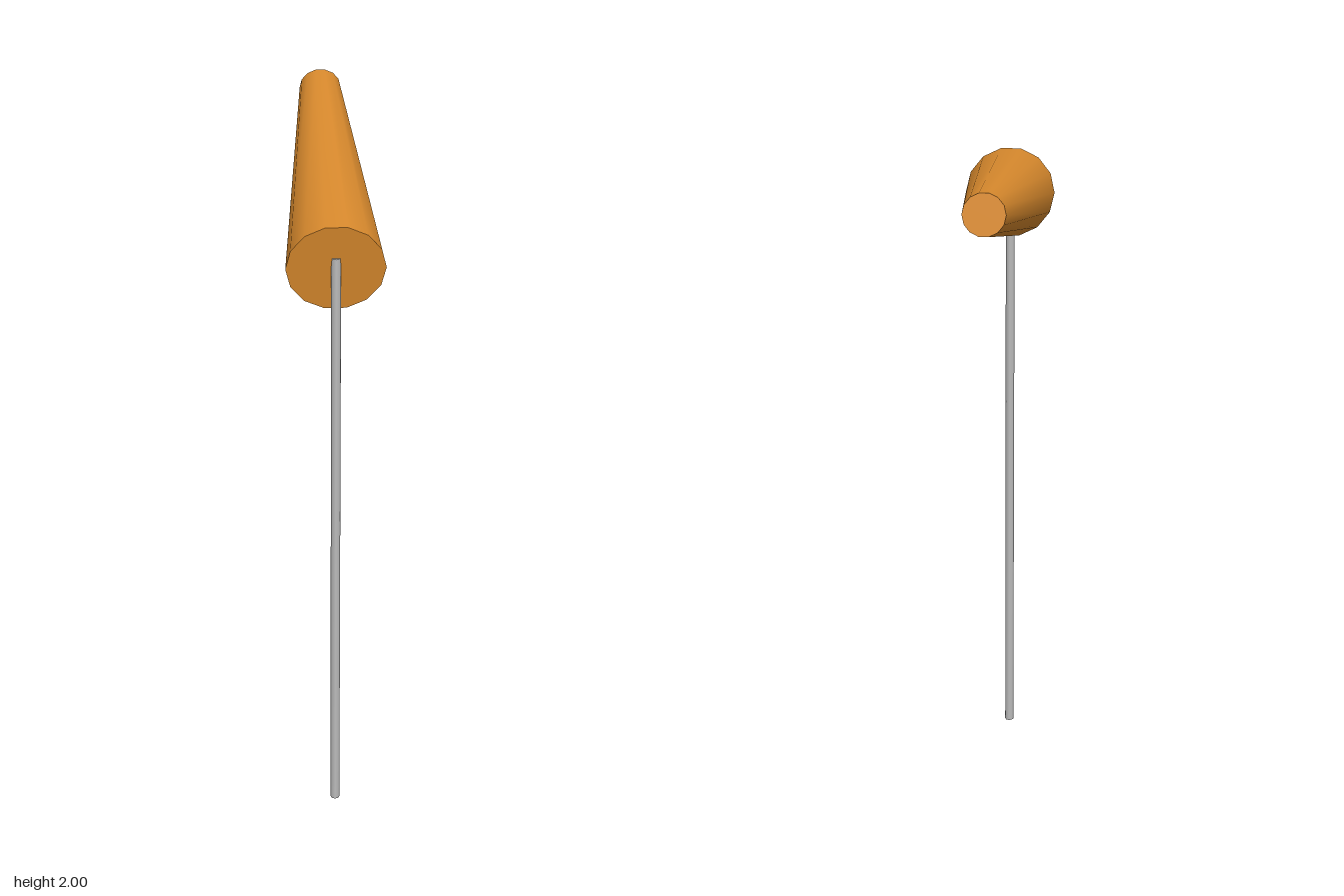
import * as THREE from 'three';

export function createModel() {
  const model = new THREE.Group();
  model.name = 'windsock';

  const orange = new THREE.MeshStandardMaterial({ color: 0xdc8c2e });
  orange.name = 'orange fabric';
  const grey = new THREE.MeshStandardMaterial({ color: 0xbcbcbc });
  grey.name = 'grey metal';

  // Upright pole, ending at the middle of the sock's mouth
  const poleHeight = 1.82;
  const pole = new THREE.Mesh(new THREE.CylinderGeometry(0.0135, 0.0135, poleHeight, 8), grey);
  pole.name = 'pole';
  pole.position.set(0, poleHeight / 2, 0.442);
  model.add(pole);

  // Tapered sock with closed ends, tilted up towards the back
  const mouth = new THREE.Vector3(0, 1.788, 0.442);
  const tail = new THREE.Vector3(0, 1.945, -0.449);
  const axis = tail.clone().sub(mouth);
  const sock = new THREE.Mesh(
    new THREE.CylinderGeometry(0.06, 0.135, axis.length(), 14, 1, false, Math.PI / 2),
    orange
  );
  sock.name = 'sock';
  sock.position.copy(mouth).add(tail).multiplyScalar(0.5);
  sock.quaternion.setFromUnitVectors(new THREE.Vector3(0, 1, 0), axis.normalize());
  model.add(sock);

  return model;
}
